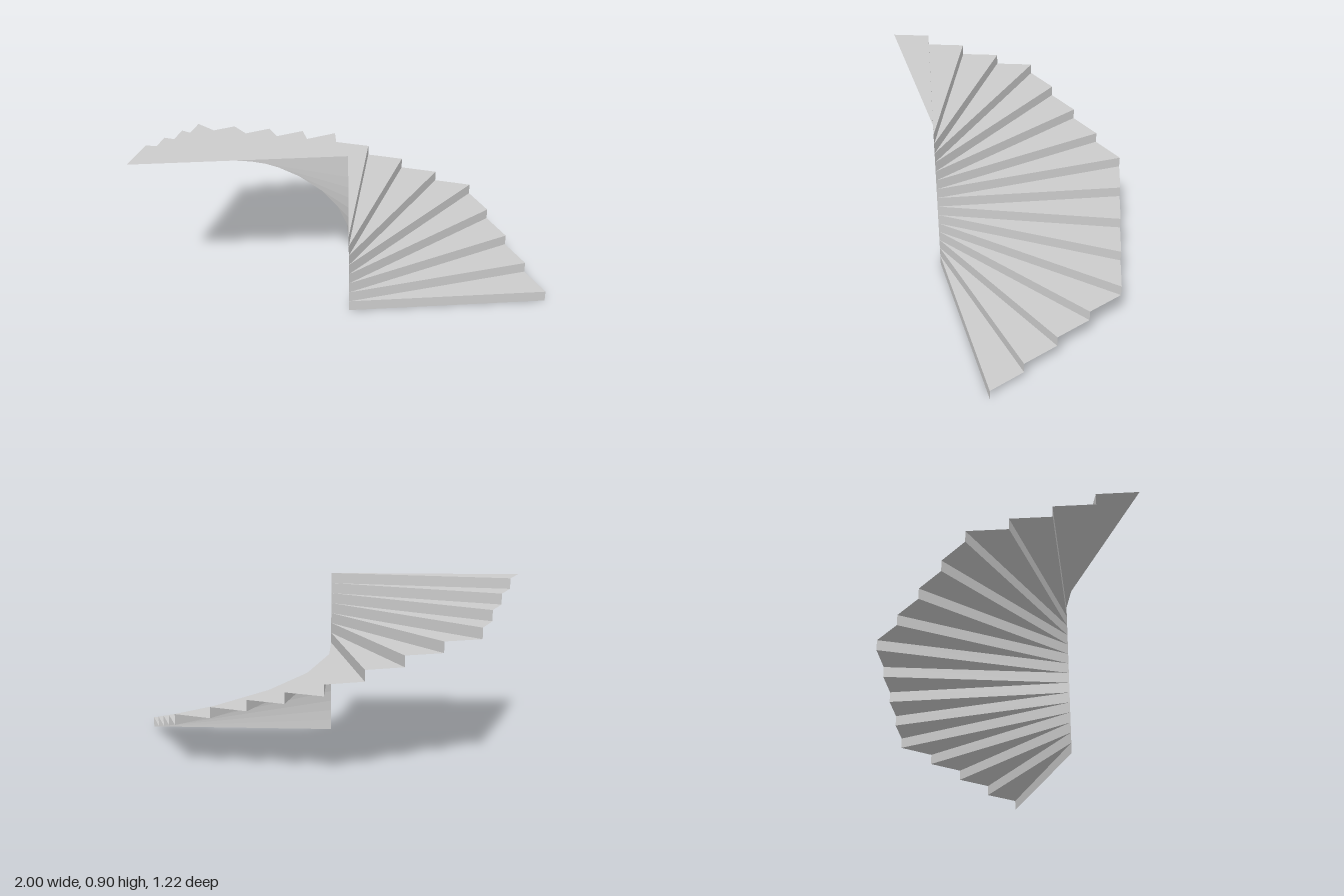
import * as THREE from 'three';

const RISE = 0.898 / 16;
const STEPS_PER_SIDE = 4;
const HUB = [0, 0.39];
// Plan corners (x, z) of the outer edge, from the bottom to the top
const CORNERS = [[1, 0.172], [0.57, -0.504], [-0.223, -0.608], [-0.896, -0.18], [-1, 0.608]];

// Flat polygon from a fan of corner points
function panel(name, points, material) {
  const geometry = new THREE.BufferGeometry();
  geometry.setAttribute('position', new THREE.Float32BufferAttribute(points.flat(), 3));
  const index = [];
  for (let i = 1; i < points.length - 1; i++) index.push(0, i, i + 1);
  geometry.setIndex(index);
  geometry.computeVertexNormals();
  const mesh = new THREE.Mesh(geometry, material);
  mesh.name = name;
  return mesh;
}

// Point on the outer edge where step i begins
function outerPoint(i) {
  const side = Math.min(Math.floor(i / STEPS_PER_SIDE), CORNERS.length - 2);
  const t = i / STEPS_PER_SIDE - side;
  const [a, b] = [CORNERS[side], CORNERS[side + 1]];
  return [a[0] + (b[0] - a[0]) * t, a[1] + (b[1] - a[1]) * t];
}

export function createModel() {
  const model = new THREE.Group();
  model.name = 'windingStaircase';
  const material = new THREE.MeshStandardMaterial({
    color: 0xcccccc, flatShading: true, side: THREE.DoubleSide,
  });
  const at = ([x, z], y) => [x, y, z];

  const count = STEPS_PER_SIDE * (CORNERS.length - 1);
  for (let i = 0; i < count; i++) {
    const low = i * RISE, high = low + RISE;
    const start = outerPoint(i), end = outerPoint(i + 1);
    const step = new THREE.Group();
    step.name = `step${i + 1}`;
    // Upright face, then the wedge-shaped tread behind it
    step.add(panel('riser', [at(HUB, low), at(start, low), at(start, high), at(HUB, high)], material));
    step.add(panel('tread', [at(HUB, high), at(start, high), at(end, high)], material));
    model.add(step);
  }
  return model;
}
